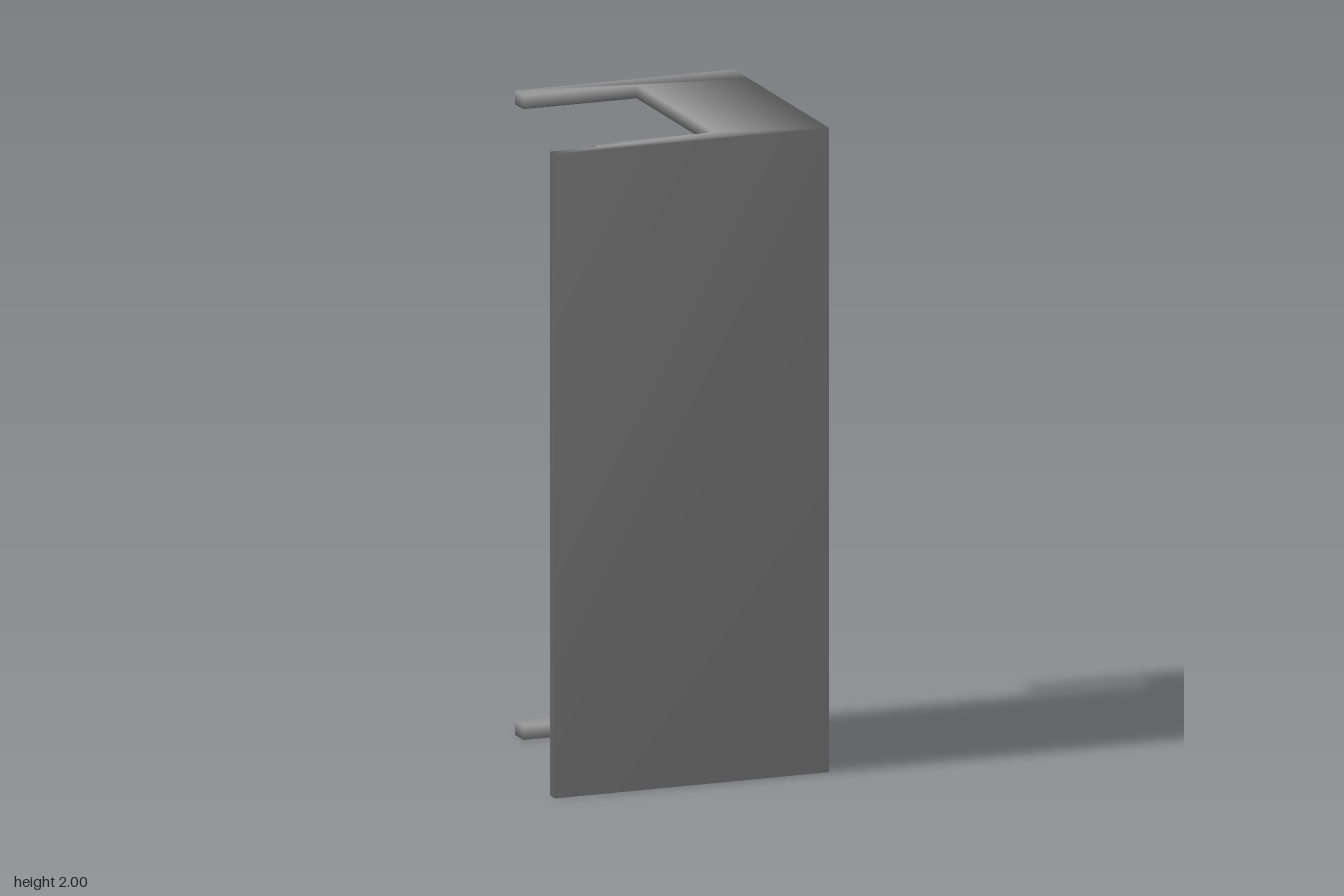
import * as THREE from 'three';
import { mergeVertices } from 'three/addons/utils/BufferGeometryUtils.js';

const HEIGHT = 2, PLATE = 0.042;

// L-shaped wall: long front panel and the left side panel, as [x, z]
const WALL = [[-0.445, 0.388], [0.443, 0.388], [0.443, -0.27], [0.42, -0.27], [0.42, 0.35], [-0.445, 0.35]];

// C-shaped end plate with a back arm and a front ledge
const END = [
  [-0.445, 0.388], [0.443, 0.388], [0.443, -0.27], [0.443, -0.388], [-0.267, -0.388], [-0.267, -0.32],
  [0.1, -0.32], [0.1, 0.31], [-0.29, 0.31], [-0.29, 0.35], [-0.445, 0.35],
];

// Upright faces along consecutive outline points
function ribbon(out, points, y0, y1, closed) {
  const count = closed ? points.length : points.length - 1;
  for (let i = 0; i < count; i++) {
    const [ax, az] = points[i], [bx, bz] = points[(i + 1) % points.length];
    out.push(ax, y0, az, bx, y0, bz, bx, y1, bz);
    out.push(ax, y0, az, bx, y1, bz, ax, y1, az);
  }
}

// Flat face filling an outline, facing up or down
function cap(out, points, y, up) {
  const contour = points.map(([x, z]) => new THREE.Vector2(x, -z));
  for (const tri of THREE.ShapeUtils.triangulateShape(contour, [])) {
    for (const i of up ? tri : [...tri].reverse()) out.push(points[i][0], y, points[i][1]);
  }
}

export function createModel() {
  const grey = new THREE.MeshStandardMaterial({ color: 0x999999 });
  grey.name = 'grey';

  const out = [];
  ribbon(out, WALL, 0, HEIGHT, true);

  // Bottom and top plates, with rims only where they stand clear of the wall
  for (const y0 of [0, HEIGHT - PLATE]) {
    cap(out, END, y0, false);
    cap(out, END, y0 + PLATE, true);
    ribbon(out, END.slice(2, 10), y0, y0 + PLATE, false);
  }

  // Welded corners give the soft shading over the edges
  let geometry = new THREE.BufferGeometry();
  geometry.setAttribute('position', new THREE.Float32BufferAttribute(out, 3));
  geometry = mergeVertices(geometry, 1e-4);
  geometry.computeVertexNormals();

  const shell = new THREE.Mesh(geometry, grey);
  shell.name = 'shell';
  const model = new THREE.Group();
  model.name = 'cornerCasing';
  model.add(shell);
  return model;
}
